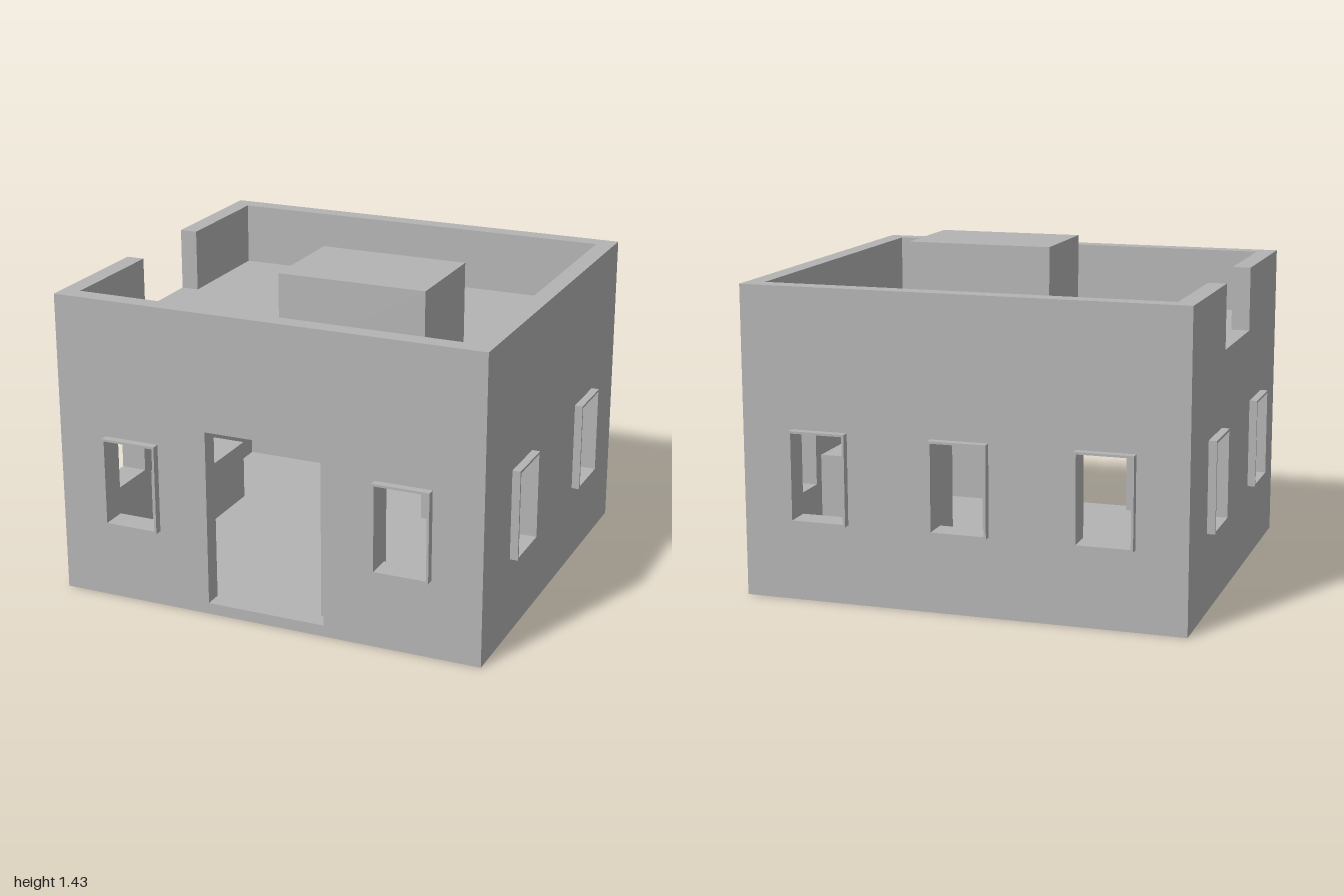
import * as THREE from 'three';

const W = 0.965, D = 0.87, T = 0.08, H = 1.345, ROOF = 1.065, FLOOR = 0.05;
const WIN = { w: 0.25, y0: 0.345, y1: 0.74, rim: 0.01, out: 0.035 };

export function createModel() {
  const group = new THREE.Group();
  const plaster = new THREE.MeshStandardMaterial({ color: 0xb4b4b4 });
  plaster.name = 'grey plaster';

  const add = (name, geometry, parent = group) => {
    const mesh = new THREE.Mesh(geometry, plaster);
    mesh.name = name;
    parent.add(mesh);
    return mesh;
  };

  const box = (name, x0, x1, y0, y1, z0, z1) =>
    add(name, new THREE.BoxGeometry(x1 - x0, y1 - y0, z1 - z0))
      .position.set((x0 + x1) / 2, (y0 + y1) / 2, (z0 + z1) / 2);

  const polygon = (pts, Type = THREE.Shape) => new Type(pts.map(p => new THREE.Vector2(...p)));
  const rect = (x0, x1, y0, y1, Type) => polygon([[x0, y0], [x1, y0], [x1, y1], [x0, y1]], Type);
  const extrude = (shape, depth) => new THREE.ExtrudeGeometry(shape, { depth, bevelEnabled: false });

  // A wall with its window frames; its outer face looks along local +z
  function wall(name, outline, windows, doors, angle, distance) {
    const side = new THREE.Group();
    side.name = name;
    side.rotation.y = angle;
    group.add(side);
    const shape = polygon(outline);
    for (const d of doors) shape.holes.push(rect(...d, THREE.Path));
    for (const c of windows) {
      const a = c - WIN.w / 2, b = c + WIN.w / 2, r = WIN.rim;
      shape.holes.push(rect(a, b, WIN.y0, WIN.y1, THREE.Path));
      const frame = rect(a, b, WIN.y0, WIN.y1);
      frame.holes.push(rect(a + r, b - r, WIN.y0 + r, WIN.y1 - r, THREE.Path));
      add('windowFrame', extrude(frame, T + WIN.out), side).position.z = distance - T;
    }
    add(name + 'Panel', extrude(shape, T), side).position.z = distance - T;
  }

  const full = w => [[-w, 0], [w, 0], [w, H], [-w, H]];
  const inner = D - T;
  // Parapet gap in the right-hand wall
  const notched = [[-inner, 0], [inner, 0], [inner, H], [0.25, H], [0.25, ROOF], [-0.25, ROOF], [-0.25, H], [-inner, H]];

  wall('frontWall', full(W), [-0.62, 0.62], [[-0.27, 0.267, FLOOR, 0.83]], 0, D);
  wall('backWall', full(W), [-0.62, 0, 0.62], [], Math.PI, D);
  wall('leftWall', full(inner), [-0.42, 0.42], [], Math.PI / 2, W);
  wall('rightWall', notched, [-0.42, 0.42], [], -Math.PI / 2, W);

  // Slabs and rooftop block
  const ix = W - T;
  box('floor', -ix, ix, 0, FLOOR, -inner, inner);
  box('roof', -ix, ix, ROOF - 0.08, ROOF, -inner, inner);
  box('rooftopBlock', -0.11, 0.55, ROOF, 1.43, 0.02, 0.48);

  // Inner partition with a doorway
  const partition = polygon([
    [-inner, FLOOR], [-0.19, FLOOR], [-0.19, 0.83], [0.345, 0.83],
    [0.345, FLOOR], [inner, FLOOR], [inner, ROOF - 0.08], [-inner, ROOF - 0.08],
  ]);
  const mesh = add('partition', extrude(partition, 0.045));
  mesh.rotation.y = Math.PI / 2;
  mesh.position.x = 0.22;

  // Built-in blocks along the side walls
  box('bench', -ix, -0.66, FLOOR, 0.33, -0.25, 0.25);
  box('counter', 0.667, ix, FLOOR, 0.48, -0.25, 0.25);

  return group;
}
